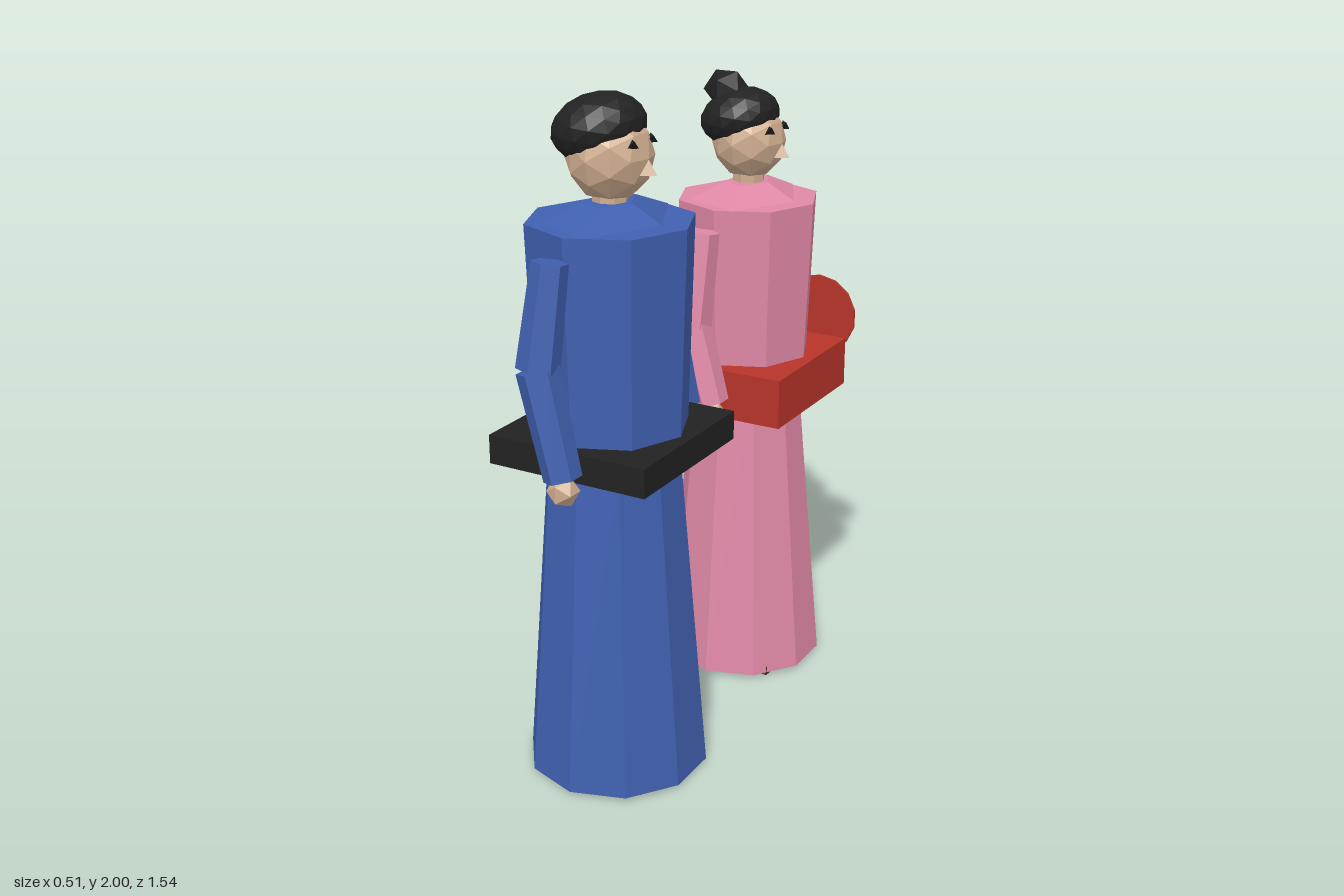
import * as THREE from 'three';

const mat = (name, color) => {
  const m = new THREE.MeshStandardMaterial({ color, flatShading: true });
  m.name = name;
  return m;
};

export function createModel() {
  const blue = mat('blue cloth', 0x4060b0);
  const pink = mat('pink cloth', 0xe088a6);
  const red = mat('red', 0xb8342a);
  const black = mat('black', 0x222222);
  const skin = mat('skin', 0xcfad8f);
  const brown = mat('brown sole', 0x4a3219);

  const add = (parent, name, geo, material, x = 0, y = 0, z = 0) => {
    const m = new THREE.Mesh(geo, material);
    m.name = name;
    m.position.set(x, y, z);
    parent.add(m);
    return m;
  };

  // tapered limb between two points
  const limb = (parent, name, a, b, ra, rb, material) => {
    const d = b.clone().sub(a);
    const m = add(parent, name, new THREE.CylinderGeometry(rb, ra, d.length(), 6), material);
    m.position.copy(a).addScaledVector(d, 0.5);
    m.quaternion.setFromUnitVectors(new THREE.Vector3(0, 1, 0), d.normalize());
  };

  // stacked frustum with its lower and upper heights given
  const frustum = (parent, name, rTop, rBottom, y0, y1, sides, material) =>
    add(parent, name, new THREE.CylinderGeometry(rTop, rBottom, y1 - y0, sides), material, 0, (y0 + y1) / 2, 0);

  // a robed figure facing +x
  const figure = (name, z, p) => {
    const g = new THREE.Group();
    g.name = name;
    g.position.z = z;

    // robe
    frustum(g, 'skirt', p.skirtTop, p.skirtBottom, 0.01, 1.0, 10, p.cloth);
    frustum(g, 'torso', p.chest, p.waist, 0.98, p.shoulderY, 8, p.cloth);
    const collar = frustum(g, 'collar', 0.1, 0.236, p.shoulderY, p.shoulderY + 0.05, 5, p.cloth);
    collar.geometry.rotateY(Math.PI / 2);
    collar.scale.set(0.68, 1, p.chest / 0.24);
    const [by0, by1, bw] = p.belt;
    add(g, 'belt', new THREE.BoxGeometry(bw, by1 - by0, bw), p.beltMat, 0, (by0 + by1) / 2, 0);

    // head
    const h = p.headY, r = p.headR;
    frustum(g, 'neck', 0.05, 0.05, p.shoulderY, h - r * 0.6, 8, skin);
    add(g, 'head', new THREE.IcosahedronGeometry(r, 1), skin, 0, h, 0).scale.y = 1.04;
    const hair = add(g, 'hair', new THREE.IcosahedronGeometry(p.hairR, 2), black, -0.032, h + 0.07, 0);
    hair.scale.y = 0.71;
    hair.rotation.z = 0.28;
    const nose = new THREE.ConeGeometry(0.035, 0.055, 3).rotateY(Math.PI / 2);
    add(g, 'nose', nose, skin, r - 0.01, h - 0.015, 0);

    for (const s of [-1, 1]) {
      add(g, 'eye', new THREE.TetrahedronGeometry(0.02), black, r * 0.84, h + 0.045, s * 0.048);
      // arm: sleeve in two pieces and a hand
      const shoulder = new THREE.Vector3(-0.01, p.shoulderY - 0.055, s * p.armTop);
      const elbow = new THREE.Vector3(-0.03, p.shoulderY - 0.34, s * p.armOut);
      const wrist = new THREE.Vector3(0.04, p.handY + 0.035, s * p.armOut);
      limb(g, 'upperArm', shoulder, elbow, 0.05, 0.06, p.cloth);
      limb(g, 'lowerArm', elbow, wrist, 0.06, 0.053, p.cloth);
      add(g, 'hand', new THREE.IcosahedronGeometry(0.046, 0), skin, 0.04, p.handY, s * p.armOut);
      add(g, 'sole', new THREE.BoxGeometry(0.27, 0.03, 0.122), brown, 0.045, 0.015, s * 0.108);
    }
    return g;
  };

  const model = new THREE.Group();
  model.name = 'robedPair';

  model.add(figure('blueFigure', 0.39, {
    cloth: blue, beltMat: black, skirtTop: 0.192, skirtBottom: 0.27,
    chest: 0.238, waist: 0.215, shoulderY: 1.66, belt: [0.985, 1.07, 0.5],
    headY: 1.835, headR: 0.122, hairR: 0.132, armTop: 0.28, armOut: 0.32, handY: 0.99,
  }));

  const lady = figure('pinkFigure', -0.41, {
    cloth: pink, beltMat: red, skirtTop: 0.168, skirtBottom: 0.257,
    chest: 0.223, waist: 0.2, shoulderY: 1.555, belt: [0.905, 1.06, 0.477],
    headY: 1.73, headR: 0.114, hairR: 0.123, armTop: 0.27, armOut: 0.3, handY: 0.94,
  });
  // hair bun and round hand fan
  add(lady, 'hairBun', new THREE.IcosahedronGeometry(0.07, 0), black, -0.08, 1.88, 0).scale.y = 0.9;
  const fan = new THREE.CylinderGeometry(0.132, 0.132, 0.01, 14).rotateX(Math.PI / 2);
  add(lady, 'fan', fan, red, 0.11, 1.107, -0.303);
  model.add(lady);

  return model;
}
